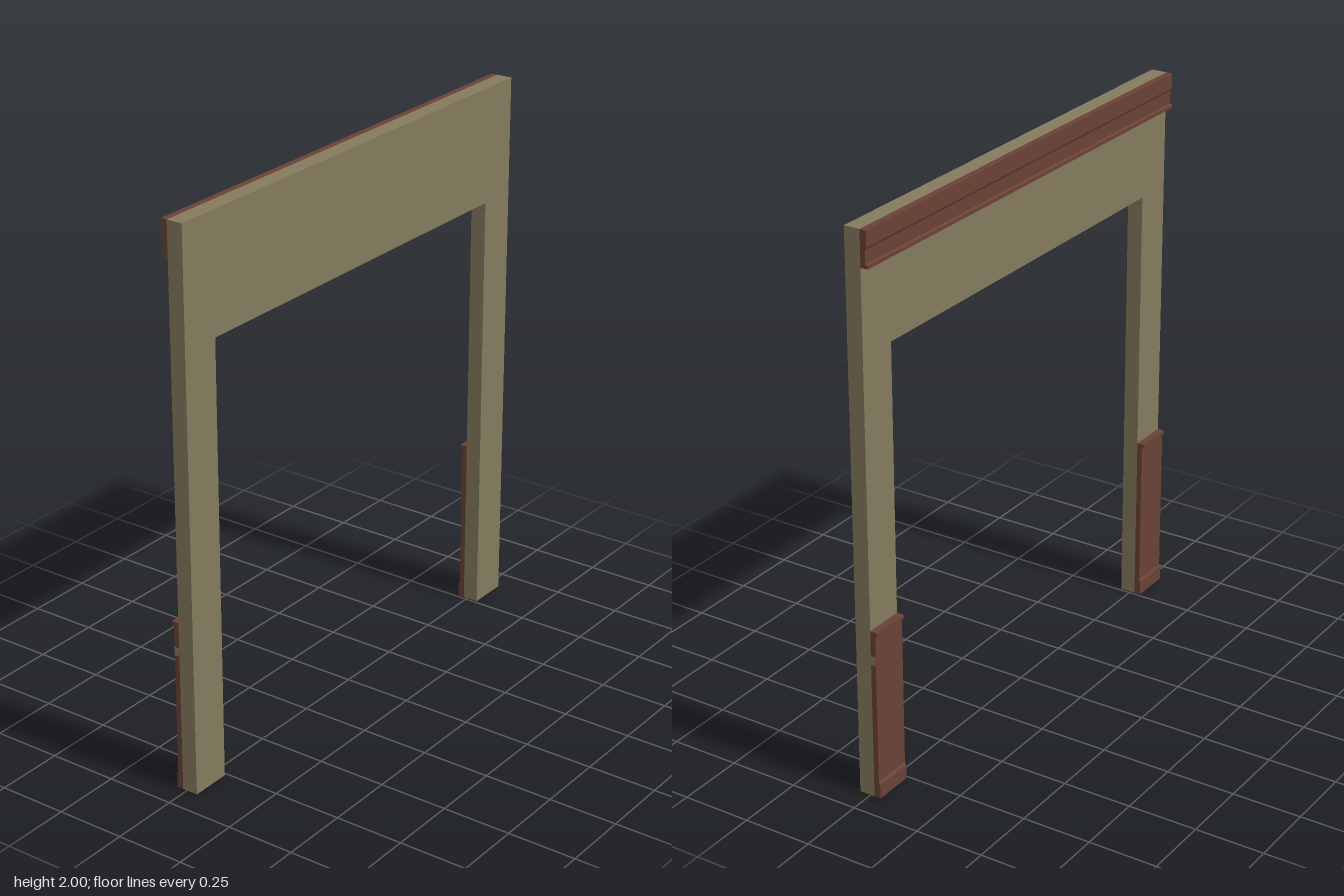
import * as THREE from 'three';

const HALF = 0.908;      // half length of the wall along z
const OPEN = 0.76;       // half width of the opening
const FACE = -0.016;     // x of the trimmed wall face

export function createModel() {
  const group = new THREE.Group();
  const plaster = new THREE.MeshStandardMaterial({ name: 'plaster', color: 0x857a5e });
  const wood = new THREE.MeshStandardMaterial({ name: 'darkWood', color: 0x6a4136 });

  const add = (name, geometry, material) => {
    const mesh = new THREE.Mesh(geometry, material);
    mesh.name = name;
    group.add(mesh);
    return mesh;
  };
  const shapeOf = pts => new THREE.Shape(pts.map(([x, y]) => new THREE.Vector2(x, y)));

  // Wall with a tall doorway
  const wall = new THREE.ExtrudeGeometry(shapeOf([
    [-HALF, 0], [-OPEN, 0], [-OPEN, 1.58], [OPEN, 1.58],
    [OPEN, 0], [HALF, 0], [HALF, 2], [-HALF, 2],
  ]), { depth: 0.042 - FACE, bevelEnabled: false });
  wall.rotateY(Math.PI / 2).translate(FACE, 0, 0);
  add('wall', wall, plaster);

  // Trim: a moulding profile in x and y, run along z
  const trim = (name, profile, z0, z1) => {
    const geo = new THREE.ExtrudeGeometry(shapeOf(profile), { depth: z1 - z0, bevelEnabled: false });
    geo.translate(0, 0, z0);
    add(name, geo, wood);
  };

  trim('cornice', [
    [FACE, 1.875], [-0.043, 1.875], [-0.043, 1.887], [-0.034, 1.89],
    [-0.034, 1.935], [-0.039, 1.945], [-0.039, 2], [FACE, 2],
  ], -HALF, HALF);

  // Baseboard, panel and cap rail on each leg
  const wainscot = [
    [FACE, 0], [-0.04, 0], [-0.04, 0.052], [-0.035, 0.062],
    [-0.035, 0.605], [-0.043, 0.611], [-0.043, 0.623], [FACE, 0.623],
  ];
  trim('wainscotFront', wainscot, OPEN, HALF);
  trim('wainscotBack', wainscot, -HALF, -OPEN);

  // Small plaster patches on the outer ends of the panels
  for (const side of [1, -1]) {
    const patch = new THREE.BoxGeometry(0.018, 0.03, 0.002);
    patch.translate(-0.0255, 0.515, side * HALF);
    add(side > 0 ? 'endPatchFront' : 'endPatchBack', patch, plaster);
  }
  return group;
}
